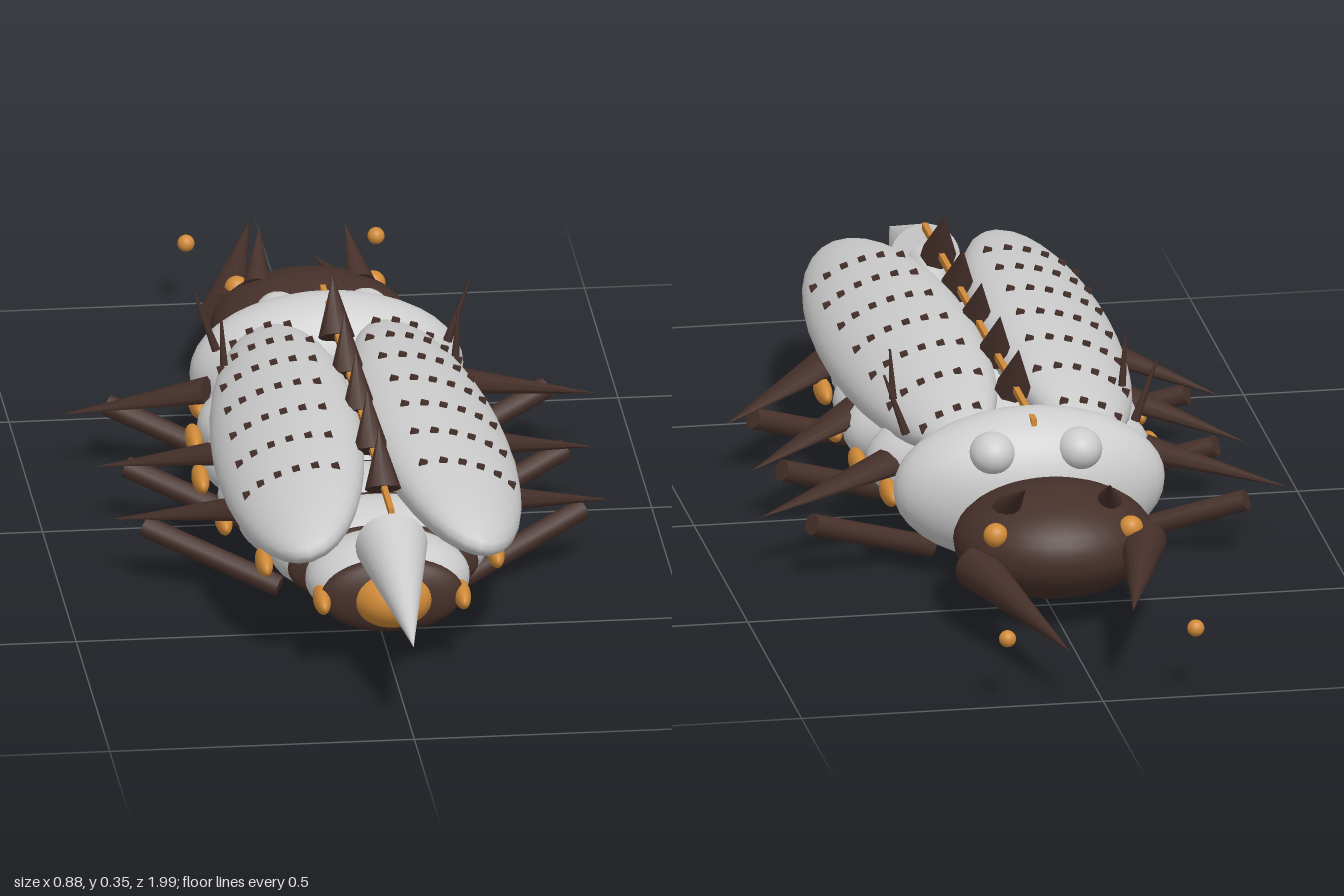
import * as THREE from 'three';

const material = (name, color) => {
  const m = new THREE.MeshStandardMaterial({ color });
  m.name = name;
  return m;
};

export function createModel() {
  const model = new THREE.Group();
  model.name = 'beetle';
  const shell = material('pale shell', 0xcccccc);
  const dark = material('dark brown', 0x46302a);
  const amber = material('amber', 0xd08a38);

  const add = (name, geometry, mat, parent = model) => {
    const mesh = new THREE.Mesh(geometry, mat);
    mesh.name = name;
    parent.add(mesh);
    return mesh;
  };

  // Ellipsoid from centre and radii
  const ball = (name, mat, pos, radii, parent = model) => {
    const mesh = add(name, new THREE.SphereGeometry(1, 32, 20), mat, parent);
    mesh.position.set(...pos);
    mesh.scale.set(...radii);
    return mesh;
  };

  // Tapered rod between two points; flat squashes it vertically
  const rod = (name, mat, from, to, r0, r1 = 0, sides = 12, flat = 1) => {
    const a = new THREE.Vector3(...from);
    const d = new THREE.Vector3(...to).sub(a);
    const length = d.length();
    const y = d.clone().normalize();
    const hint = Math.abs(y.y) > 0.9 ? new THREE.Vector3(0, 0, 1) : new THREE.Vector3(0, 1, 0);
    const x = new THREE.Vector3().crossVectors(y, hint).normalize();
    const z = new THREE.Vector3().crossVectors(x, y);
    const geometry = new THREE.CylinderGeometry(r1, r0, length, sides);
    geometry.translate(0, length / 2, 0);
    geometry.scale(1, 1, flat);
    geometry.applyMatrix4(new THREE.Matrix4().makeBasis(x, y, z).setPosition(a));
    return add(name, geometry, mat);
  };

  // Head, thorax and tail
  ball('head', dark, [0, 0.132, -0.54], [0.165, 0.093, 0.145]);
  ball('thorax', shell, [0, 0.15, -0.31], [0.225, 0.13, 0.1]);
  ball('tailTip', amber, [0, 0.128, 0.65], [0.072, 0.054, 0.09]);
  ball('tailBulb', shell, [0, 0.195, 0.67], [0.036, 0.042, 0.13]);
  rod('tailSpike', shell, [0, 0.213, 0.66], [0, 0.16, 0.99], 0.059, 0, 32);

  // Abdomen segments, each followed by a dark band
  const segments = [
    [-0.11, 0.235, 0.107], [0.05, 0.245, 0.102], [0.2, 0.235, 0.097],
    [0.33, 0.215, 0.09], [0.465, 0.18, 0.084], [0.6, 0.135, 0.077],
  ];
  segments.forEach(([z, rx, ry]) => {
    ball('abdomenSegment', shell, [0, 0.135, z], [rx, ry, 0.1]);
    ball('abdomenBand', dark, [0, 0.13, z + 0.07], [rx * 0.87, ry * 0.83, 0.03]);
  });

  // Spine line and leaning back spikes
  const line = add('spineLine', new THREE.BoxGeometry(0.009, 0.012, 1.02), amber);
  line.position.set(0, 0.27, 0.15);
  for (let i = 0; i < 5; i++) {
    const z = 0.535 - i * 0.173;
    rod('backSpike', dark, [0, 0.262, z], [0, 0.348, z - 0.058], 0.03, 0, 8);
  }

  for (const s of [1, -1]) {
    // Wing case with rows of tiny studs
    const wing = new THREE.Group();
    wing.name = 'wingCase';
    wing.position.set(s * 0.122, 0.222, 0.21);
    wing.rotation.set(0, s * 0.035, -s * 0.3);
    model.add(wing);
    const [rx, ry, rz] = [0.125, 0.066, 0.51];
    ball('wingShell', shell, [0, 0, 0], [rx, ry, rz], wing);
    for (let row = 0; row < 7; row++) {
      const w = (-0.23 + row * 0.118 - 0.21) / rz;
      for (const u of [-0.6, -0.35, -0.1, 0.15, 0.4, 0.62]) {
        const h = 1 - u * u - w * w;
        if (h < 0.02) continue;
        const stud = add('stud', new THREE.BoxGeometry(0.012, 0.014, 0.008), dark, wing);
        stud.position.set(s * u * rx, Math.sqrt(h) * ry, w * rz);
      }
    }

    // Thin upright bristles
    rod('bristle', dark, [s * 0.19, 0.24, -0.11], [s * 0.195, 0.325, -0.11], 0.007, 0.002, 6);
    rod('bristle', dark, [s * 0.19, 0.22, -0.23], [s * 0.226, 0.322, -0.23], 0.008, 0.002, 6);

    // Thorax bumps
    ball('thoraxBump', shell, [s * 0.072, 0.225, -0.37], [0.038, 0.035, 0.042]);

    // Amber beads along the flanks
    const beads = [[0.115, 0.665], [0.19, 0.485], [0.235, 0.29], [0.252, 0.1], [0.243, -0.08], [0.22, -0.24]];
    for (const [x, z] of beads) ball('sideBead', amber, [s * x, 0.124, z], [0.014, 0.02, 0.048]);

    // Legs and side spines
    for (const z of [-0.22, 0.06, 0.33]) {
      rod('leg', dark, [s * 0.148, 0.02, z], [s * 0.36, 0.1, z - 0.09], 0.018, 0.018);
    }
    for (const [z, tipX, tipZ] of [[-0.2, 0.44, -0.27], [0.08, 0.41, -0.03], [0.335, 0.41, 0.21]]) {
      rod('sideSpine', dark, [s * 0.21, 0.162, z], [s * tipX, 0.102, tipZ], 0.042, 0, 8, 0.45);
    }

    // Jaws, eyes, horns and feeler tips
    rod('jaw', dark, [s * 0.138, 0.123 - s * 0.015, -0.6], [s * 0.052, 0.118 - s * 0.032, -0.985], 0.038, 0, 16);
    ball('eye', amber, [s * 0.112, 0.172, -0.628], [0.02, 0.02, 0.02]);
    rod('horn', dark, [s * 0.085, 0.195, -0.57], [s * 0.07, 0.262, -0.67], 0.024, 0, 10);
    ball('feelerTip', amber, [s * 0.156, 0.115, -0.985], [0.014, 0.014, 0.014]);
  }
  return model;
}
